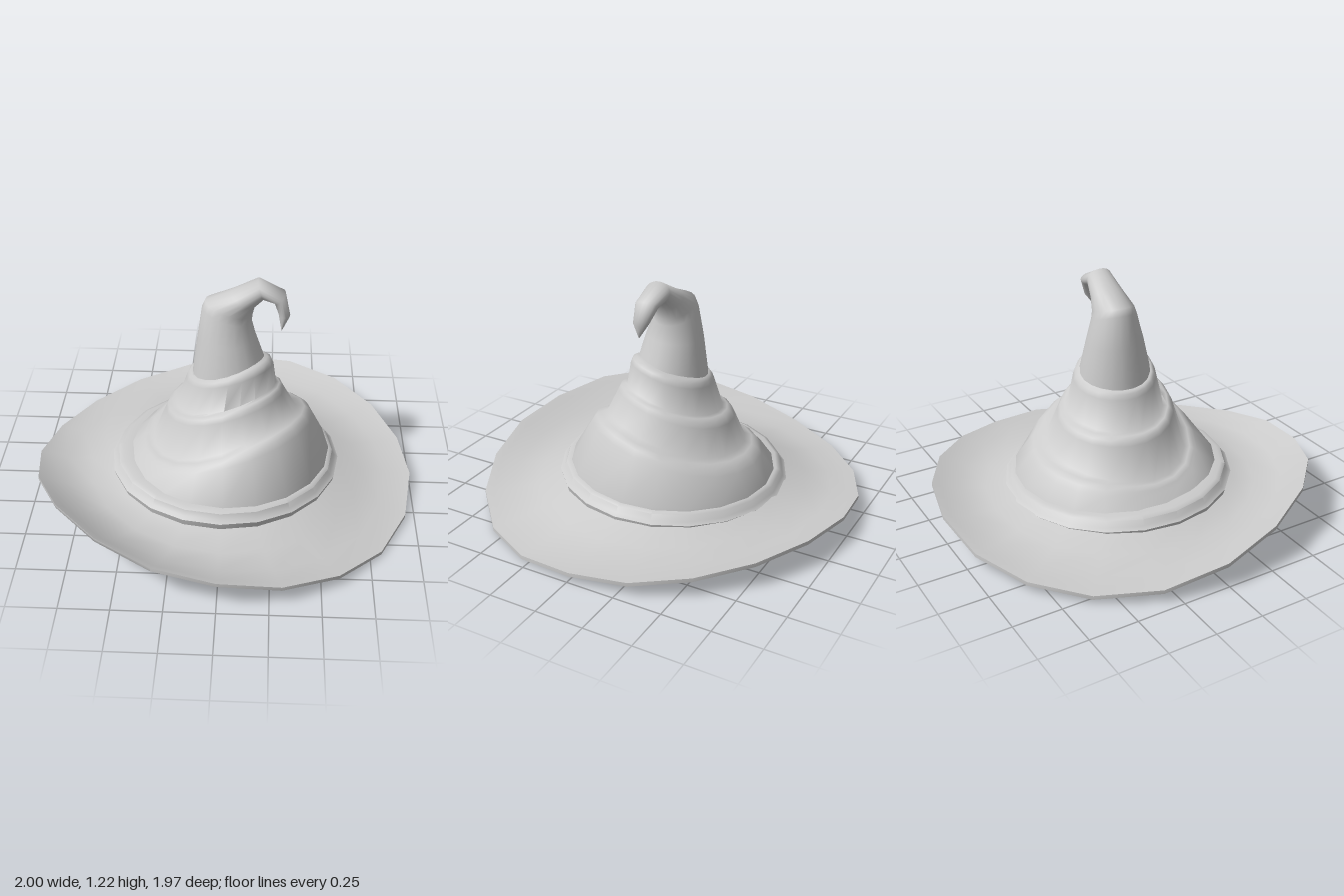
import * as THREE from 'three';
import { toCreasedNormals, mergeVertices } from 'three/addons/utils/BufferGeometryUtils.js';

const SIDES = 20;

// Skin a list of closed rings (arrays of SIDES points) into a surface.
function loft(rings, crease) {
  const pos = rings.flat(2), idx = [];
  for (let i = 0; i < rings.length - 1; i++) {
    for (let j = 0; j < SIDES; j++) {
      const k = (j + 1) % SIDES;
      const a = i * SIDES + j, b = i * SIDES + k;
      idx.push(a, a + SIDES, b, b, a + SIDES, b + SIDES);
    }
  }
  let g = new THREE.BufferGeometry();
  g.setAttribute('position', new THREE.Float32BufferAttribute(pos, 3));
  g.setIndex(idx);
  g = mergeVertices(g);
  return toCreasedNormals(g, crease);
}

// Ring through a left and a right point, with depth centre z, half depth rz,
// slope sz along z and a wave that lifts the front left and back right quarters.
function ring([lx, ly, rx, ry, z, rz, sz = 0, wave = 0]) {
  return Array.from({ length: SIDES }, (_, j) => {
    const a = (j / SIDES) * Math.PI * 2, c = Math.cos(a), s = Math.sin(a);
    return [
      (lx + rx) / 2 + (c * (rx - lx)) / 2,
      (ly + ry) / 2 + (c * (ry - ly)) / 2 + s * rz * sz + wave * Math.sin(2 * a),
      z + s * rz,
    ];
  });
}

function part(name, geometry) {
  const m = new THREE.Mesh(geometry,
    new THREE.MeshStandardMaterial({ color: 0xcccccc, side: THREE.DoubleSide }));
  m.name = name;
  return m;
}

// Wavy brim with the smooth lining inside the crown.
function brim() {
  // rim heights from +x through the front (+z), -x and the back
  const rim = [0.055, 0.025, 0.02, 0.06, 0.11, 0.17, 0.21, 0.255, 0.265, 0.21,
    0.135, 0.07, 0.045, 0.055, 0.085, 0.135, 0.15, 0.135, 0.105, 0.07];
  // radius, even height, share of rim height
  const top = [[0.5, 0.16, 0], [0.6, 0.13, 0], [0.72, 0.085, 0.15], [0.86, 0.06, 0.5], [0.96, 0.05, 0.87], [1, 0, 1]];
  const under = [[0.08, 1, 0], [0.13, 0.78, 0], [0.2, 0.58, 0], [0.29, 0.4, 0], [0.36, 0.24, 0], [0.41, 0.12, 0],
    [0.45, 0.055, 0], [0.6, 0.055, 0.02], [0.75, 0.06, 0.2], [0.86, 0.05, 0.5], [0.96, 0.035, 0.87], [1, 0, 1]];
  const layer = (profile, drop) => profile.map(([r, y, w]) => rim.map((h, j) => {
    let a = (j / SIDES) * Math.PI * 2;
    a += 0.05 * Math.max(0, -Math.sin(a));
    return [r * Math.cos(a), y * (1 - w) + h * w - drop, -0.01 + r * 0.985 * Math.sin(a)];
  }));
  return loft([...layer(under, 0.02), ...layer(top, 0).reverse()], 1.0);
}

// Narrow band round the foot of the crown
function band() {
  const rows = [[0.595, 0.11], [0.605, 0.148], [0.585, 0.16], [0.573, 0.19], [0.55, 0.2], [0.48, 0.2]];
  return loft(rows.map(([r, y]) => ring([-r, y, r, y, -0.02, r * 0.985, 0.04])), 0.8);
}

// Three tilted, overlapping folds
function folds() {
  return loft([
    [-0.55, 0.13, 0.56, 0.13, -0.02, 0.545],
    [-0.53, 0.18, 0.55, 0.215, -0.025, 0.535, 0.04],
    [-0.45, 0.23, 0.46, 0.415, -0.045, 0.44, 0.12, 0.03],
    [-0.435, 0.25, 0.44, 0.445, -0.045, 0.42, 0.12, 0.035],
    [-0.41, 0.265, 0.415, 0.465, -0.04, 0.39, 0.12, 0.035],
    [-0.38, 0.267, 0.37, 0.472, -0.035, 0.355, 0.12, 0.035],
    [-0.31, 0.45, 0.305, 0.58, -0.035, 0.3, 0.17, 0.015],
    [-0.3, 0.475, 0.295, 0.605, -0.035, 0.285, 0.17, 0.015],
    [-0.28, 0.49, 0.28, 0.618, -0.03, 0.265, 0.17, 0.015],
    [-0.252, 0.493, 0.262, 0.622, -0.03, 0.242, 0.17, 0.015],
    [-0.2, 0.65, 0.245, 0.745, -0.025, 0.21, 0.17, 0.01],
    [-0.19, 0.675, 0.235, 0.768, -0.025, 0.2, 0.17, 0.01],
    [-0.178, 0.687, 0.215, 0.78, -0.025, 0.185, 0.17, 0.01],
    [-0.15, 0.69, 0.185, 0.783, -0.025, 0.165, 0.17, 0.01],
  ].map(ring), 1.5);
}

// Bent peak ending in a small hook
function peak() {
  return loft([
    [-0.167, 0.68, 0.2, 0.775, -0.025, 0.18, 0.15],
    [-0.14, 0.89, 0.155, 0.9, -0.03, 0.145, 0.05],
    [-0.115, 1.06, 0.132, 0.985, -0.035, 0.11],
    [-0.1, 1.095, 0.135, 1.02, -0.035, 0.1],
    [0.03, 1.15, 0.148, 1.075, -0.03, 0.085],
    [0.16, 1.22, 0.19, 1.12, -0.025, 0.068],
    [0.295, 1.155, 0.24, 1.105, -0.018, 0.06],
    [0.32, 1.04, 0.262, 1.05, 0, 0.042],
    [0.28, 0.96, 0.279, 0.96, 0.02, 0.001],
  ].map(ring), 1.1);
}

export function createModel() {
  const hat = new THREE.Group();
  hat.name = 'pointedHat';
  hat.add(part('brim', brim()), part('band', band()), part('crownFolds', folds()), part('peak', peak()));
  return hat;
}
